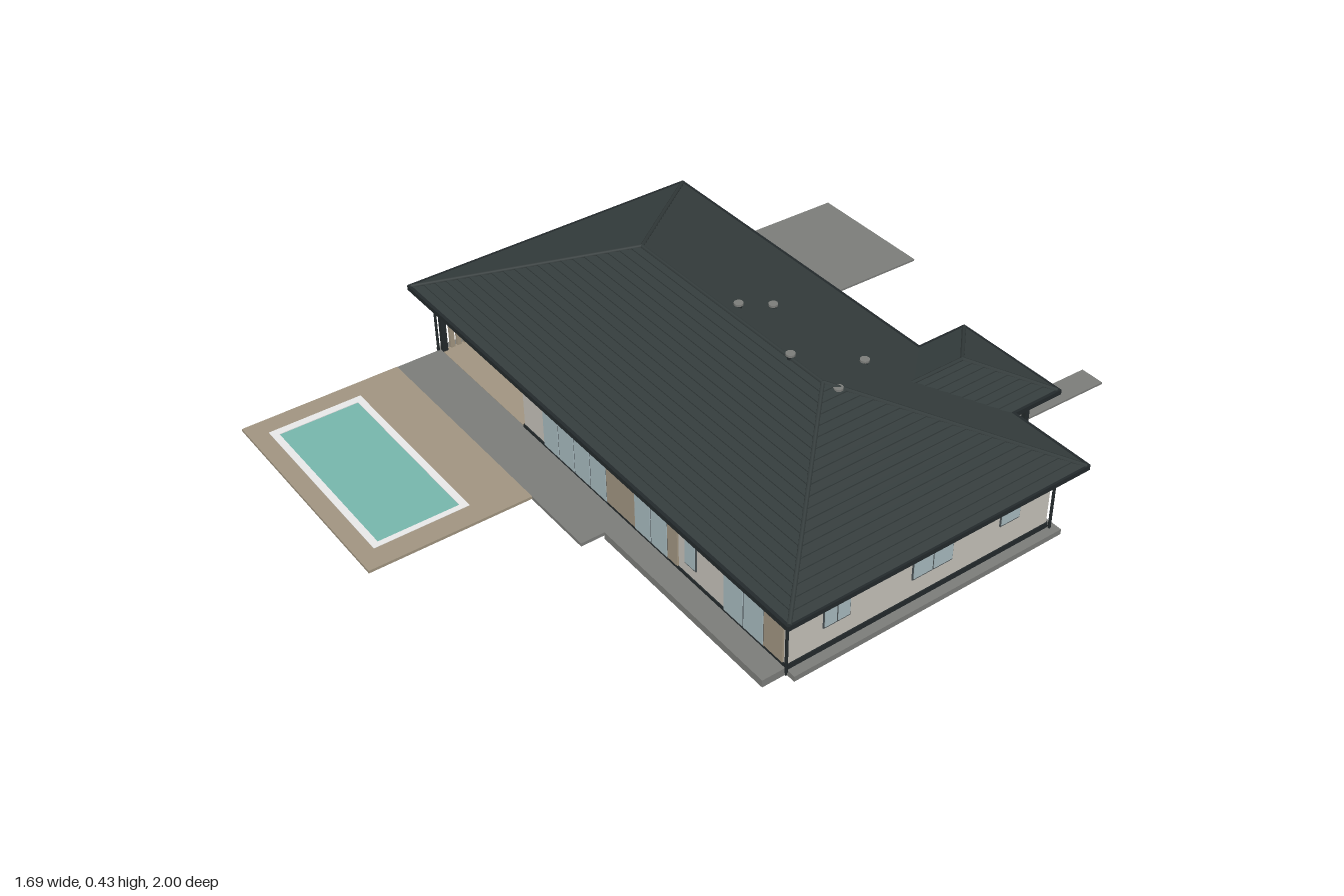
import * as THREE from 'three';

const mat = (name, color) => Object.assign(new THREE.MeshStandardMaterial({ color }), { name });
const M = {
  roof: mat('roof slate', 0x343c3c),
  dark: mat('anthracite trim', 0x23292b),
  wall: mat('plaster', 0xc4c0b8),
  wood: mat('wood tan', 0xa09480),
  paving: mat('paving grey', 0x7b7c79),
  glass: mat('glass', 0xa6b9be),
  frame: mat('window frame', 0x4a5154),
  water: mat('pool water', 0x76b5ab),
  white: mat('pool rim white', 0xffffff),
};

export function createModel() {
  const model = new THREE.Group();
  model.name = 'bungalow';

  const add = (name, geo, material, parent = model) => {
    const mesh = new THREE.Mesh(geo, material);
    mesh.name = name;
    parent.add(mesh);
    return mesh;
  };
  // Box given by its limits on each axis
  const box = (name, x0, x1, y0, y1, z0, z1, material, parent) => {
    const m = add(name, new THREE.BoxGeometry(x1 - x0, y1 - y0, z1 - z0), material, parent);
    m.position.set((x0 + x1) / 2, (y0 + y1) / 2, (z0 + z1) / 2);
    return m;
  };
  // Round bar between two points
  const bar = (name, a, b, r, material, parent, sides = 8) => {
    const p = new THREE.Vector3(...a), q = new THREE.Vector3(...b), d = q.clone().sub(p);
    const m = add(name, new THREE.CylinderGeometry(r, r, d.length(), sides), material, parent);
    m.position.copy(p).add(q).multiplyScalar(0.5);
    m.quaternion.setFromUnitVectors(new THREE.Vector3(0, 1, 0), d.normalize());
  };
  // Flat plate cut from an x/z outline, with optional rectangular hole
  const plate = (name, pts, y0, y1, material, hole) => {
    const flat = (list) => list.map(([x, z]) => new THREE.Vector2(x, -z));
    const shape = new THREE.Shape(flat(pts));
    if (hole) shape.holes.push(new THREE.Path(flat(hole)));
    const geo = new THREE.ExtrudeGeometry(shape, { depth: y1 - y0, bevelEnabled: false });
    geo.rotateX(-Math.PI / 2).translate(0, y0, 0);
    return add(name, geo, material);
  };
  const rect = (x0, x1, z0, z1) => [[x0, z0], [x0, z1], [x1, z1], [x1, z0]];

  // House body: a rectangle with the covered terrace cut from one front corner
  const outline = (e) => [[-0.78 - e, -0.44 - e], [-0.78 - e, 0.09 + e], [-0.34 - e, 0.09 + e],
    [-0.34 - e, 0.39 + e], [0.78 + e, 0.39 + e], [0.78 + e, -0.44 - e]];
  plate('walls', outline(0), 0.03, 0.222, M.wall);
  plate('plinth', outline(0.003), 0.003, 0.036, M.dark);

  // Paving around the house, porch floor, driveway and path
  box('sideApronLeft', 0.78, 0.81, 0.004, 0.02, -0.46, 0.39, M.paving);
  box('sideApronRight', -0.81, -0.78, 0.004, 0.02, -0.46, 0.39, M.paving);
  box('backApron', -0.81, 0.81, 0.004, 0.02, -0.465, -0.44, M.paving);
  box('frontWalk', 0.14, 0.78, 0.004, 0.026, 0.39, 0.46, M.paving);
  box('terraceWalk', -0.785, 0.14, 0.016, 0.026, 0.39, 0.53, M.paving);
  box('terraceFloor', -0.78, -0.34, 0.014, 0.027, 0.09, 0.39, M.wood);
  box('terraceEdge', -0.78, -0.34, 0.003, 0.014, 0.385, 0.393, M.dark);
  box('porchFloor', 0.25, 0.55, 0.006, 0.028, -0.62, -0.44, M.paving);
  const slope = (name, x0, x1, zNear) => {
    const len = 1 + zNear;
    const m = box(name, x0, x1, 0.014, 0.02, -1, zNear, M.paving);
    m.position.y = 0.018;
    m.rotation.x = -Math.atan(0.01 / len);
  };
  slope('driveway', -0.755, -0.345, -0.44);
  slope('gardenPath', 0.36, 0.435, -0.6);

  // Pool and its deck
  const rimOut = rect(-0.727, -0.15, 0.676, 0.95), rimIn = rect(-0.704, -0.167, 0.696, 0.93);
  plate('poolDeck', rect(-0.785, -0.085, 0.53, 1), 0.019, 0.027, M.wood, rimOut);
  plate('poolRim', rimOut, 0.019, 0.028, M.white, rimIn);
  plate('poolWater', rimIn, 0.02, 0.026, M.water);

  // Hip roof made of overlapping tile courses; corners run round the eave, tops are their ridge ends
  const hipRoof = (name, corners, tops, eave, ridge, courses) => {
    const pos = [], lip = 0.0035, base = eave - 0.014;
    const ring = (t, y) => corners.map(([x, z], i) =>
      [x + (tops[i][0] - x) * t, y, z + (tops[i][1] - z) * t]);
    const rings = [ring(0, base)];
    for (let i = 0; i < courses; i++) {
      const t0 = i / courses, t1 = (i + 1) / courses;
      rings.push(ring(t0, eave + (ridge - eave) * t0 + lip), ring(t1, eave + (ridge - eave) * t1));
    }
    for (let k = 0; k + 1 < rings.length; k++) {
      for (let i = 0; i < 4; i++) {
        const j = (i + 1) % 4, lo = rings[k], hi = rings[k + 1];
        pos.push(...lo[i], ...lo[j], ...hi[j], ...lo[i], ...hi[j], ...hi[i]);
      }
    }
    const b = rings[0];
    pos.push(...b[0], ...b[3], ...b[2], ...b[0], ...b[2], ...b[1]);
    const geo = new THREE.BufferGeometry();
    geo.setAttribute('position', new THREE.Float32BufferAttribute(pos, 3));
    geo.computeVertexNormals();
    add(name, geo, M.roof);
  };
  const rA = [-0.38, -0.03], rB = [0.38, -0.03];
  const mainCorners = rect(-0.838, 0.838, -0.493, 0.433);
  hipRoof('mainRoof', mainCorners, [rA, rA, rB, rB], 0.228, 0.417, 20);
  const pA = [0.4, -0.48], pB = [0.4, -0.3];
  const porchCorners = rect(0.225, 0.575, -0.655, -0.3);
  hipRoof('porchRoof', porchCorners, [pA, pB, pB, pA], 0.228, 0.302, 8);

  // Ridge and hip caps
  const caps = new THREE.Group();
  caps.name = 'ridgeCaps';
  model.add(caps);
  const cap = (a, ya, b, yb) => bar('ridgeCap', [a[0], ya, a[1]], [b[0], yb, b[1]], 0.006, M.roof, caps, 6);
  cap(rA, 0.417, rB, 0.417);
  mainCorners.forEach((c, i) => cap(c, 0.229, i < 2 ? rA : rB, 0.417));
  cap(pA, 0.302, pB, 0.302);
  cap(porchCorners[0], 0.229, pA, 0.302);
  cap(porchCorners[3], 0.229, pA, 0.302);

  // Gutters along the eaves
  const gutter = (x0, x1, z0, z1) => box('gutter', x0, x1, 0.217, 0.231, z0, z1, M.dark);
  gutter(-0.845, 0.842, 0.432, 0.442);
  gutter(-0.845, 0.225, -0.502, -0.492);
  gutter(0.575, 0.842, -0.502, -0.492);
  gutter(-0.847, -0.837, -0.5, 0.44);
  gutter(0.834, 0.844, -0.5, 0.44);
  gutter(0.217, 0.583, -0.663, -0.654);
  gutter(0.217, 0.226, -0.66, -0.49);
  gutter(0.574, 0.583, -0.66, -0.49);

  // Downpipes at the house corners
  for (const sx of [-1, 1]) {
    for (const [zEave, zWall] of [[0.433, 0.396], [-0.493, -0.446]]) {
      const x = sx * 0.787;
      bar('downpipeElbow', [sx * 0.838, 0.217, zEave], [x, 0.165, zWall], 0.004, M.dark);
      bar('downpipe', [x, 0.167, zWall], [x, 0.02, zWall], 0.004, M.dark);
    }
  }

  // Roof vents
  for (const [x, z] of [[-0.02, -0.08], [-0.015, -0.19], [0.295, -0.24], [0.255, -0.03], [0.41, -0.055]]) {
    const y = 0.417 - Math.abs(z + 0.03) * 0.41 - Math.max(0, x - 0.38) * 0.41;
    bar('ventPipe', [x, y - 0.01, z], [x, y + 0.012, z], 0.009, M.dark);
    bar('ventCap', [x, y + 0.009, z], [x, y + 0.015, z], 0.013, M.paving, model, 12);
  }

  // Thin panel on a wall: axis across the wall, plane of the wall, outward sign
  const faces = {
    front: ['x', 0.39, 1], terrace: ['x', 0.09, 1], back: ['x', -0.44, -1],
    left: ['z', 0.78, 1], right: ['z', -0.78, -1],
  };
  const panel = (name, face, a0, a1, y0, y1, depth, material, parent) => {
    const [axis, plane, s] = faces[face];
    const p0 = Math.min(plane, plane + s * depth), p1 = Math.max(plane, plane + s * depth);
    if (axis === 'x') box(name, a0, a1, y0, y1, p0, p1, material, parent);
    else box(name, p0, p1, y0, y1, a0, a1, material, parent);
  };
  const glazing = (name, face, a0, a1, y0, y1, panes) => {
    const g = new THREE.Group(), f = 0.005, w = (a1 - a0) / panes;
    g.name = name;
    model.add(g);
    panel('frame', face, a0, a1, y0, y1, 0.004, M.frame, g);
    for (let i = 0; i < panes; i++) {
      panel('pane', face, a0 + i * w + f / 2, a0 + (i + 1) * w - f / 2, y0 + f, y1 - f, 0.006, M.glass, g);
    }
  };

  // Front wall
  glazing('livingRoomDoors', 'front', -0.237, 0.057, 0.032, 0.19, 4);
  glazing('patioDoor', 'front', 0.18, 0.32, 0.032, 0.19, 2);
  glazing('narrowWindow', 'front', 0.39, 0.435, 0.07, 0.19, 1);
  glazing('bedroomDoor', 'front', 0.545, 0.7, 0.032, 0.19, 2);
  for (const [a, b] of [[0.057, 0.18], [0.32, 0.36], [0.7, 0.77]]) {
    panel('woodCladding', 'front', a, b, 0.037, 0.217, 0.005, M.wood);
  }
  panel('terraceCladding', 'terrace', -0.72, -0.39, 0.037, 0.217, 0.005, M.wood);

  // Side walls
  glazing('sideWindow', 'left', 0.205, 0.285, 0.09, 0.19, 2);
  glazing('sideWindow', 'left', -0.115, 0.013, 0.09, 0.19, 2);
  glazing('sideWindow', 'left', -0.335, -0.27, 0.11, 0.195, 1);
  glazing('garageWindow', 'right', -0.22, -0.14, 0.11, 0.19, 1);

  // Back wall with garage door and entrance
  for (let i = 0; i < 6; i++) {
    panel('garageDoorSlat', 'back', -0.74, -0.38, 0.03 + i * 0.027, 0.055 + i * 0.027, 0.007, M.dark);
  }
  panel('garageDoorBacking', 'back', -0.74, -0.38, 0.03, 0.192, 0.004, M.frame);
  panel('backCladding', 'back', -0.34, -0.18, 0.037, 0.217, 0.005, M.wood);
  glazing('kitchenWindow', 'back', -0.115, 0.055, 0.09, 0.19, 2);
  glazing('hallWindow', 'back', 0.22, 0.265, 0.07, 0.19, 1);
  panel('entranceDoor', 'back', 0.36, 0.44, 0.032, 0.19, 0.007, M.dark);
  glazing('bathWindow', 'back', 0.62, 0.68, 0.11, 0.195, 1);

  // Posts of the porch and terrace
  for (const x of [0.26, 0.54]) box('porchPost', x - 0.007, x + 0.007, 0.02, 0.222, -0.592, -0.578, M.dark);
  box('terracePost', -0.783, -0.768, 0.02, 0.222, 0.375, 0.39, M.dark);

  // Slatted screen beside the terrace
  for (let i = 0; i < 13; i++) {
    const z = 0.098 + i * 0.021;
    box('screenSlat', -0.782, -0.772, 0.027, 0.217, z, z + 0.013, M.wood);
  }

  // Slatted enclosure for the outdoor unit
  box('outdoorUnit', -0.838, -0.782, 0.02, 0.095, -0.413, -0.307, M.dark);
  for (let i = 0; i < 6; i++) {
    const z = -0.42 + i * 0.0215;
    box('enclosureSlat', -0.845, -0.838, 0.02, 0.102, z, z + 0.0135, M.wood);
  }
  for (const z of [-0.42, -0.307]) box('enclosureEnd', -0.845, -0.785, 0.02, 0.102, z, z + 0.007, M.wood);

  return model;
}
